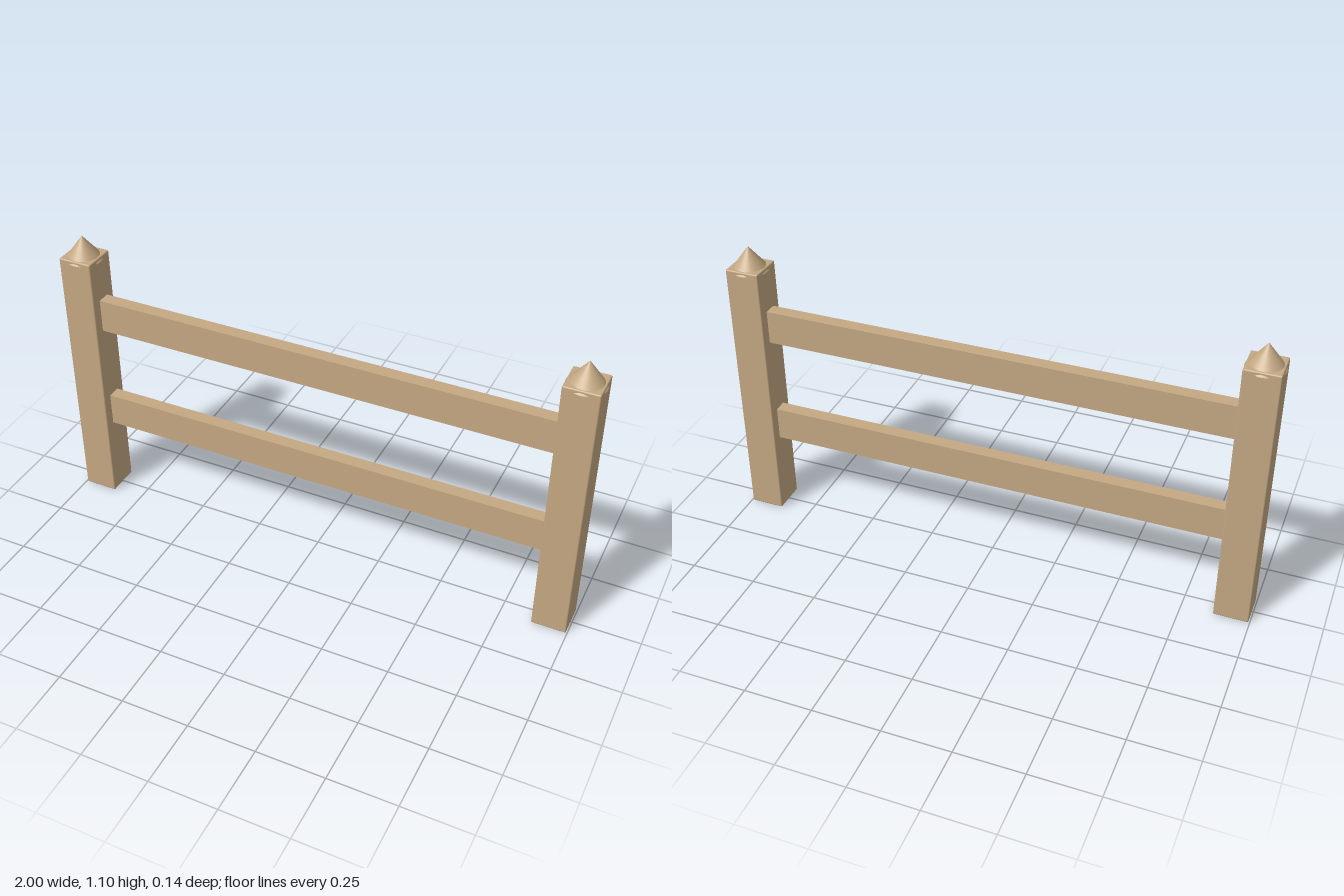
import * as THREE from 'three';
import { RoundedBoxGeometry } from 'three/addons/geometries/RoundedBoxGeometry.js';

export function createModel() {
  const model = new THREE.Group();
  model.name = 'fence';

  const wood = new THREE.MeshStandardMaterial({ color: 0xc4a882 });
  wood.name = 'lightWood';

  const add = (name, geometry, x, y) => {
    const mesh = new THREE.Mesh(geometry, wood);
    mesh.name = name;
    mesh.position.set(x, y, 0);
    model.add(mesh);
  };

  // Square posts with softened edges, each under a pointed cap a little wider than the post
  const postHeight = 1.025;
  const postGeometry = new RoundedBoxGeometry(0.128, postHeight, 0.128, 2, 0.005);
  const capGeometry = new THREE.ConeGeometry(0.069, 0.09, 32);
  for (const [side, x] of [['left', 0.931], ['right', -0.931]]) {
    add(side + 'Post', postGeometry, x, postHeight / 2);
    add(side + 'PostCap', capGeometry, x, 1.055);
  }

  // Two flat rails running between the posts
  const railGeometry = new THREE.BoxGeometry(1.76, 0.128, 0.05);
  add('lowerRail', railGeometry, 0, 0.374);
  add('upperRail', railGeometry, 0, 0.795);

  return model;
}
